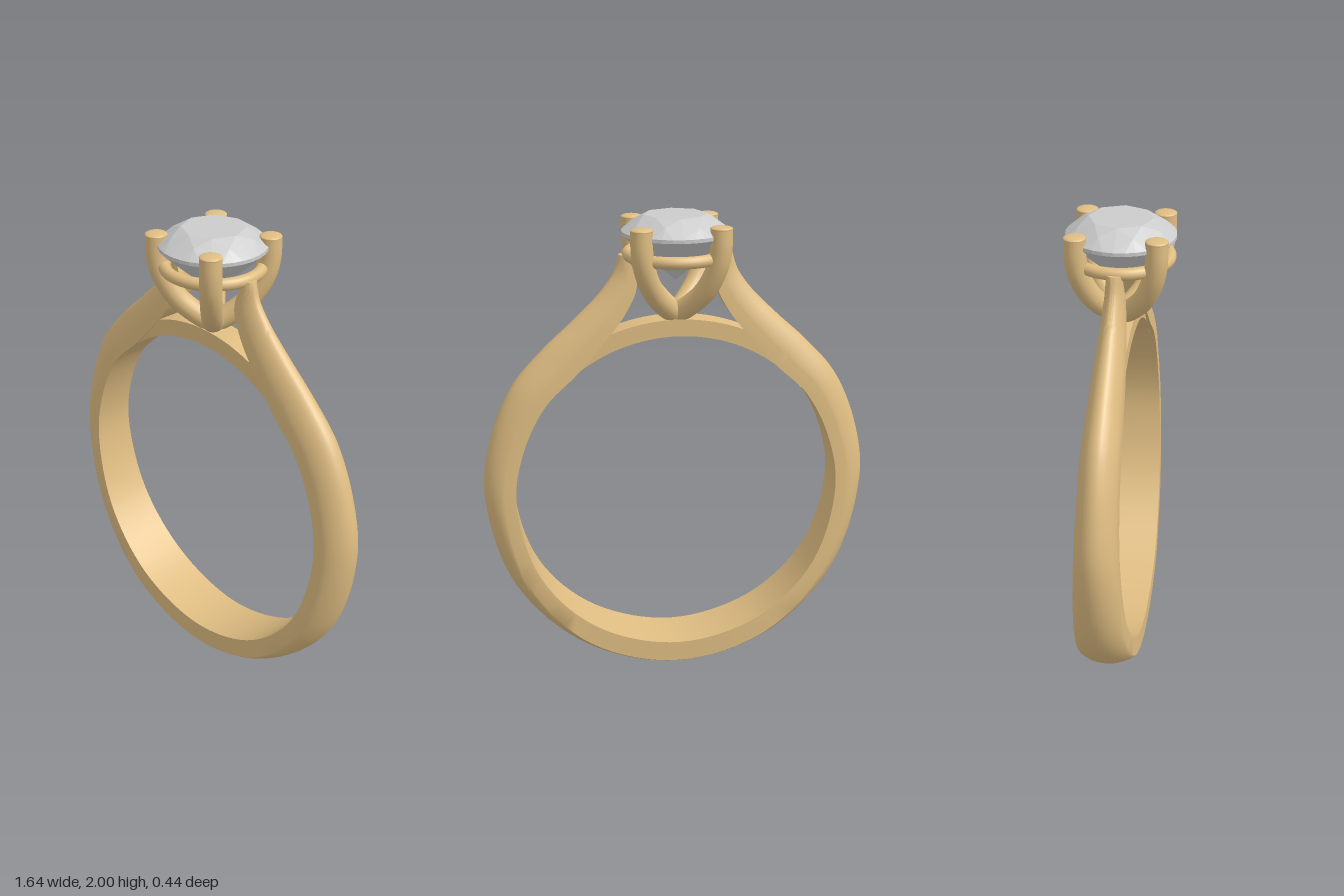
import * as THREE from 'three';
import { toCreasedNormals } from 'three/addons/utils/BufferGeometryUtils.js';
import { ConvexGeometry } from 'three/addons/geometries/ConvexGeometry.js';

const gold = new THREE.MeshStandardMaterial({ color: 0xdfbd82 });
const grey = new THREE.MeshStandardMaterial({ color: 0xcccccc, flatShading: true });

function add(parent, name, geometry, material) {
  const mesh = new THREE.Mesh(geometry, material);
  mesh.name = name;
  parent.add(mesh);
  return mesh;
}

// Shank stations from the bottom to the shoulder tip:
// outer x, outer y, inner x, inner y, half width, share of the depth that is side wall
const STATIONS = [
  [0, 0, 0, 0.12, 0.12, 0.74],
  [0.41, 0.11, 0.345, 0.212, 0.118, 0.68],
  [0.705, 0.405, 0.598, 0.465, 0.105, 0.5],
  [0.82, 0.82, 0.69, 0.81, 0.09, 0.38],
  [0.785, 1.08, 0.648, 1.046, 0.082, 0.35],
  [0.69, 1.3, 0.55, 1.235, 0.077, 0.35],
  [0.56, 1.45, 0.43, 1.35, 0.07, 0.35],
  [0.43, 1.57, 0.32, 1.47, 0.062, 0.35],
  [0.32, 1.68, 0.21, 1.61, 0.05, 0.35],
  [0.26, 1.765, 0.165, 1.72, 0.04, 0.35],
  [0.235, 1.84, 0.2, 1.84, 0.03, 0.35],
];

// Domed section lofted from the left shoulder, under the finger, to the right shoulder
function shankGeometry() {
  const mirrored = STATIONS.slice(1).reverse().map(([ox, oy, ix, iy, w, f]) => [-ox, oy, -ix, iy, w, f]);
  const all = [...mirrored, ...STATIONS];
  const outer = new THREE.CatmullRomCurve3(all.map(s => new THREE.Vector3(s[0], s[1], s[4])));
  const inner = new THREE.CatmullRomCurve3(all.map(s => new THREE.Vector3(s[2], s[3], s[5])));
  const steps = 160, arc = 16, n = arc + 3;
  const pos = [], index = [];
  for (let i = 0; i <= steps; i++) {
    const o = outer.getPoint(i / steps), p = inner.getPoint(i / steps);
    const w = o.z, f = p.z;
    const put = (t, z) => pos.push(p.x + (o.x - p.x) * t, p.y + (o.y - p.y) * t, z);
    put(0, -w);
    for (let k = 0; k <= arc; k++) {
      const a = Math.PI * k / arc;
      put(f + (1 - f) * Math.pow(Math.max(0, Math.sin(a)), 1 + f), -w * Math.cos(a));
    }
    put(0, w);
  }
  for (let i = 0; i < steps; i++) {
    for (let j = 0; j < n; j++) {
      const a = i * n + j, c = i * n + (j + 1) % n;
      index.push(a, a + n, c, a + n, c + n, c);
    }
  }
  // end caps
  const last = steps * n;
  for (let j = 1; j < n - 1; j++) {
    index.push(0, j, j + 1, last, last + j + 1, last + j);
  }
  const g = new THREE.BufferGeometry();
  g.setAttribute('position', new THREE.Float32BufferAttribute(pos, 3));
  g.setIndex(index);
  return toCreasedNormals(g, 0.6);
}

// Thin arc that closes the finger hole below the setting
function bridgeGeometry() {
  const a0 = 0.7, a1 = Math.PI - a0, half = 0.055;
  const shape = new THREE.Shape();
  shape.absarc(0, 0.81, 0.762, a0, a1, false);
  shape.absarc(0, 0.81, 0.691, a1, a0, true);
  const g = new THREE.ExtrudeGeometry(shape, { depth: 2 * half, bevelEnabled: false, curveSegments: 48 });
  g.translate(0, 0, -half);
  return toCreasedNormals(g, 0.6);
}

// Brilliant cut: table, crown, girdle and pointed pavilion
function gemGeometry() {
  const points = [new THREE.Vector3(0, 1.727, 0)];
  const ring = (count, r, y, offset = 0) => {
    for (let i = 0; i < count; i++) {
      const a = (i + offset) / count * Math.PI * 2;
      points.push(new THREE.Vector3(r * Math.cos(a), y, r * Math.sin(a)));
    }
  };
  ring(8, 0.13, 2);
  ring(8, 0.178, 1.973, 0.5);
  ring(32, 0.222, 1.935);
  ring(32, 0.222, 1.92);
  ring(8, 0.12, 1.826, 0.5);
  return new ConvexGeometry(points);
}

export function createModel() {
  const model = new THREE.Group();
  model.name = 'ring';
  add(model, 'shank', shankGeometry(), gold);
  add(model, 'bridge', bridgeGeometry(), gold);

  const setting = new THREE.Group();
  setting.name = 'setting';
  model.add(setting);
  add(setting, 'gem', gemGeometry(), grey);
  const collar = add(setting, 'collar', new THREE.TorusGeometry(0.196, 0.025, 16, 64), gold);
  collar.rotation.x = Math.PI / 2;
  collar.position.y = 1.838;

  // Four curved prongs on the diagonals
  const profile = [[0, 1.585], [0.055, 1.635], [0.105, 1.7], [0.146, 1.8], [0.159, 1.88], [0.16, 1.965]];
  for (const sx of [-1, 1]) {
    for (const sz of [-1, 1]) {
      const path = new THREE.CatmullRomCurve3(profile.map(([d, y]) => new THREE.Vector3(sx * d, y, sz * d)));
      const prong = new THREE.Group();
      prong.name = 'prong';
      setting.add(prong);
      add(prong, 'prongStem', new THREE.TubeGeometry(path, 32, 0.045, 20), gold);
      const tip = add(prong, 'prongTip', new THREE.SphereGeometry(0.046, 24, 12), gold);
      tip.scale.y = 0.25;
      tip.position.set(sx * 0.16, 1.964, sz * 0.16);
    }
  }
  return model;
}
